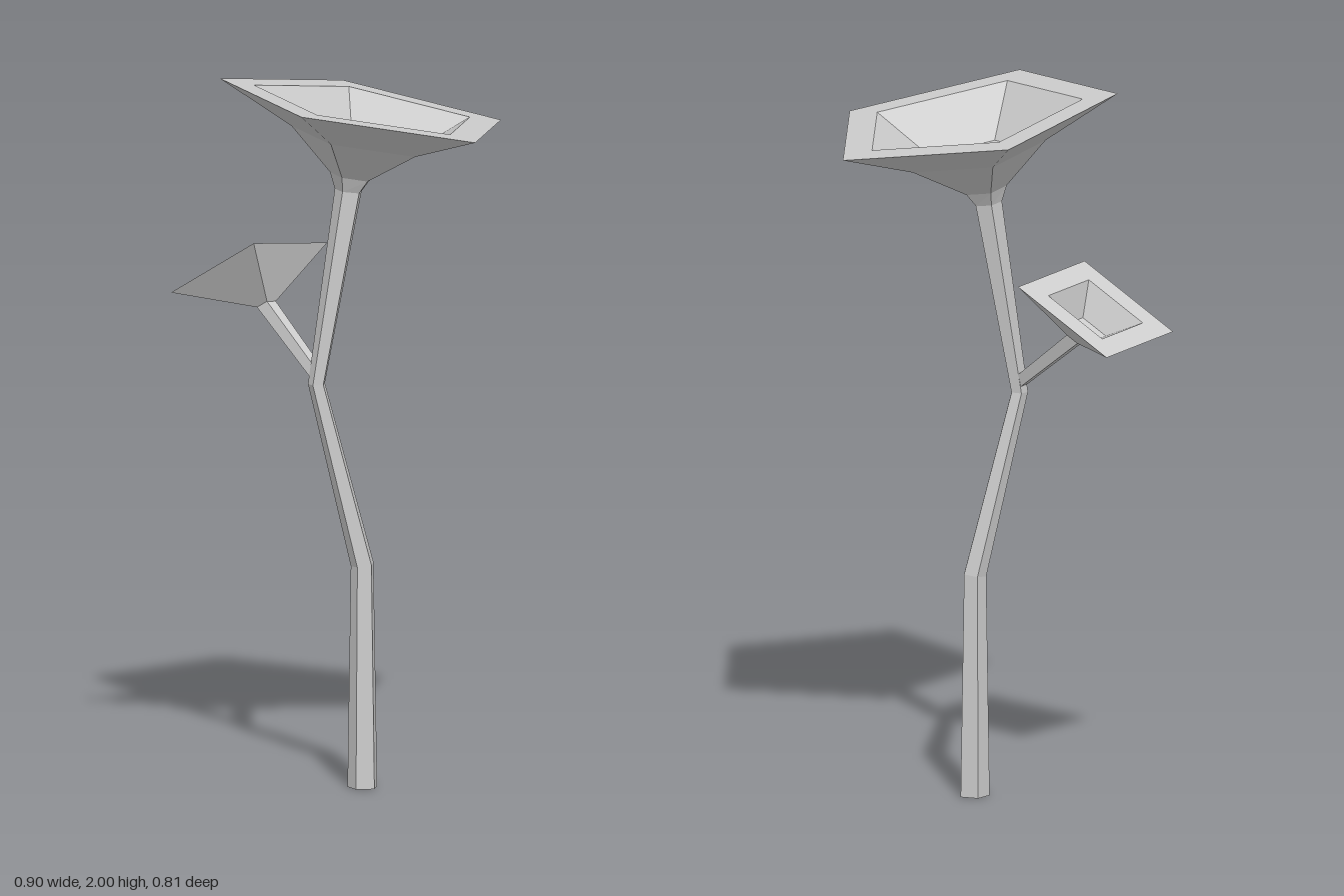
import * as THREE from 'three';

const V = (x, y, z) => new THREE.Vector3(x, y, z);
const material = new THREE.MeshStandardMaterial({ color: 0xcccccc, flatShading: true });

// Polygon ring: centre plus two axes, counter-clockwise seen from above
function ring(centre, a, b, sides, scale) {
  return Array.from({ length: sides }, (_, i) => {
    const t = (i / sides) * Math.PI * 2;
    return centre.clone()
      .addScaledVector(a, Math.cos(t) * scale)
      .addScaledVector(b, Math.sin(t) * scale);
  });
}

// Five-sided ring, one corner to the back, leaning by an angle in x
function pentagon(x, y, z, radius, lean = 0) {
  return ring(V(x, y, z), V(0, 0, -1), V(-Math.cos(lean), Math.sin(lean), 0), 5, radius);
}

// Flat-faced skin through successive rings, with optional end caps
function loft(name, rings, capStart, capEnd) {
  const pos = [];
  const tri = (...points) => points.forEach((p) => pos.push(p.x, p.y, p.z));
  const n = rings[0].length;
  for (let i = 0; i < rings.length - 1; i++) {
    for (let j = 0; j < n; j++) {
      const k = (j + 1) % n;
      const [p, q] = [rings[i], rings[i + 1]];
      tri(p[j], p[k], q[k]);
      tri(p[j], q[k], q[j]);
    }
  }
  const first = rings[0];
  const last = rings[rings.length - 1];
  for (let j = 1; j < n - 1; j++) {
    if (capStart) tri(first[0], first[j + 1], first[j]);
    if (capEnd) tri(last[0], last[j], last[j + 1]);
  }
  const geometry = new THREE.BufferGeometry();
  geometry.setAttribute('position', new THREE.Float32BufferAttribute(pos, 3));
  geometry.computeVertexNormals();
  const mesh = new THREE.Mesh(geometry, material);
  mesh.name = name;
  return mesh;
}

export function createModel() {
  const group = new THREE.Group();
  group.name = 'fungusPlant';

  // Bent main stem
  const stemTop = pentagon(0.002, 1.69, 0.025, 0.04, 0.12);
  group.add(loft('stem', [
    pentagon(0.042, 0, 0.025, 0.044),
    pentagon(0.041, 0.63, 0.025, 0.034, -0.15),
    pentagon(-0.088, 1.145, 0.023, 0.025, -0.03),
    stemTop,
  ], true, false));

  // Large cap: flared underside, flat rim, sunken floor
  const lean = 0.177;
  group.add(loft('largeCap', [
    stemTop,
    pentagon(0.01, 1.73, 0.026, 0.062, lean),
    pentagon(0.04, 1.835, 0.04, 0.205, lean),
    pentagon(0.05, 1.93, 0.06, 0.424, lean),
    pentagon(0.05, 1.93, 0.06, 0.325, lean),
    pentagon(0.035, 1.815, 0.04, 0.162, lean),
  ], false, true));

  // Small cap axes: half-edges of its tilted square rim
  const u = V(0.115, -0.015, -0.068);
  const v = V(0.1, 0.085, 0.1);
  const a = u.clone().add(v);
  const b = u.clone().sub(v);
  const square = (x, y, z, scale) => ring(V(x, y, z), a, b, 4, scale);

  // Side branch
  const branchTop = square(-0.197, 1.337, -0.178, 0.12);
  group.add(loft('branch', [square(-0.088, 1.175, 0.015, 0.1), branchTop], true, false));

  // Small cap: straight funnel, flat rim, sunken floor
  group.add(loft('smallCap', [
    branchTop,
    square(-0.235, 1.43, -0.243, 1),
    square(-0.235, 1.43, -0.243, 0.61),
    square(-0.217, 1.363, -0.206, 0.26),
  ], false, true));

  return group;
}
